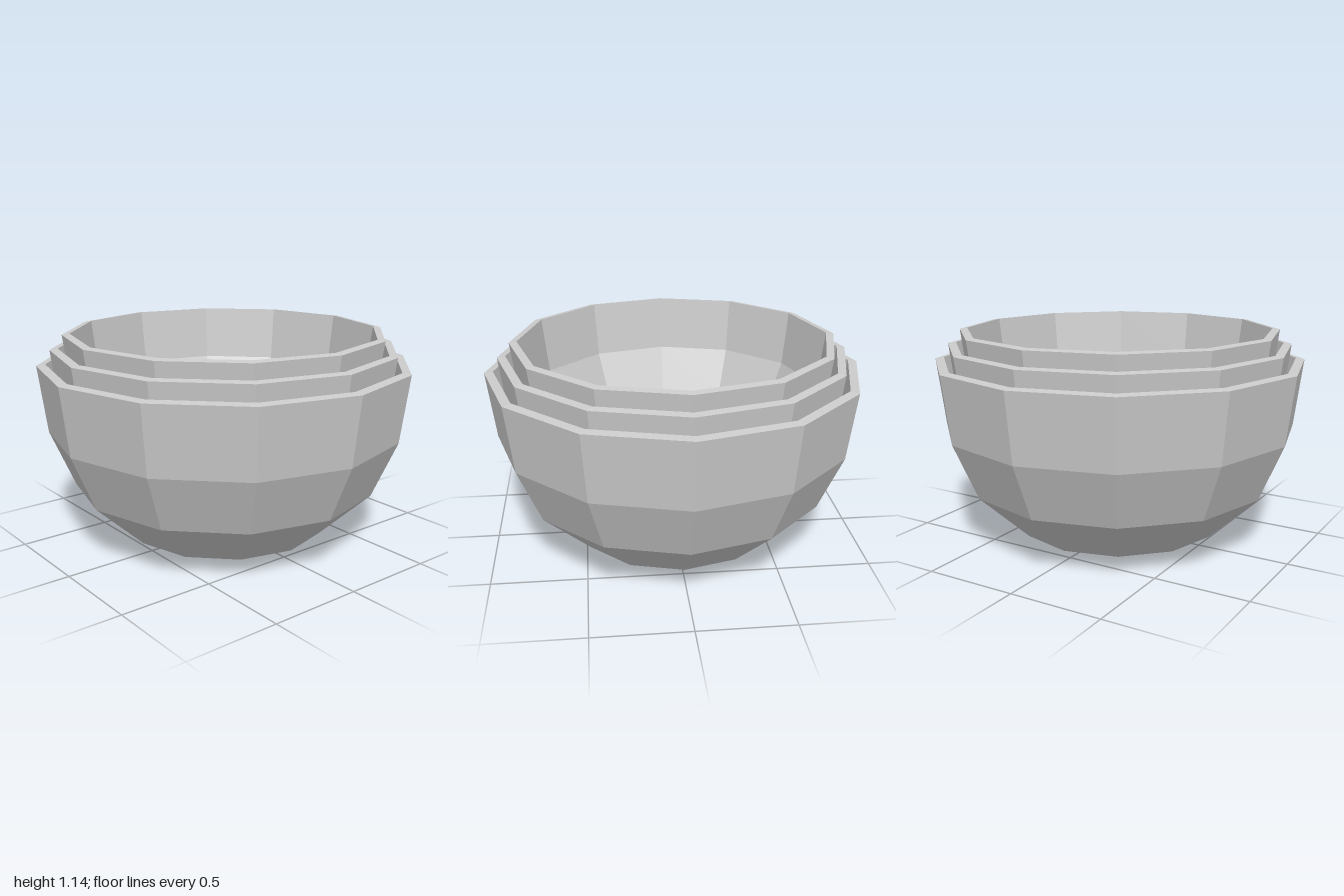
import * as THREE from 'three';

const SIDES = 12;
const RIM = 0.98;   // rim height of the largest bowl
const INNER = 0.953; // inner wall relative to the outer wall, shrunk towards the rim

export function createModel() {
  const group = new THREE.Group();
  group.name = 'nestingBowls';
  const material = new THREE.MeshStandardMaterial({ color: 0xcccccc, flatShading: true });

  // Closed profile: outer wall from base to rim, then inner wall back down
  const outer = [[0, 0], [0.555, 0.058], [0.825, 0.312], [0.955, 0.615], [1, 0.976]];
  const inner = outer.map(([r, y]) => [r * INNER, RIM + 0.003 + (y - 0.976) * INNER]).reverse();
  const profile = [...outer, ...inner].map(([r, y]) => new THREE.Vector2(r, y));
  const bowlGeometry = new THREE.LatheGeometry(profile, SIDES);

  // Three bowls of shrinking size, each rim standing a little above the last
  const bowls = [
    ['largeBowl', 1, 0.98],
    ['mediumBowl', 0.927, 1.062],
    ['smallBowl', 0.86, 1.14],
  ];
  for (const [name, scale, rimHeight] of bowls) {
    const bowl = new THREE.Mesh(bowlGeometry, material);
    bowl.name = name;
    bowl.scale.setScalar(scale);
    bowl.position.y = rimHeight - RIM * scale;
    group.add(bowl);
  }
  return group;
}
